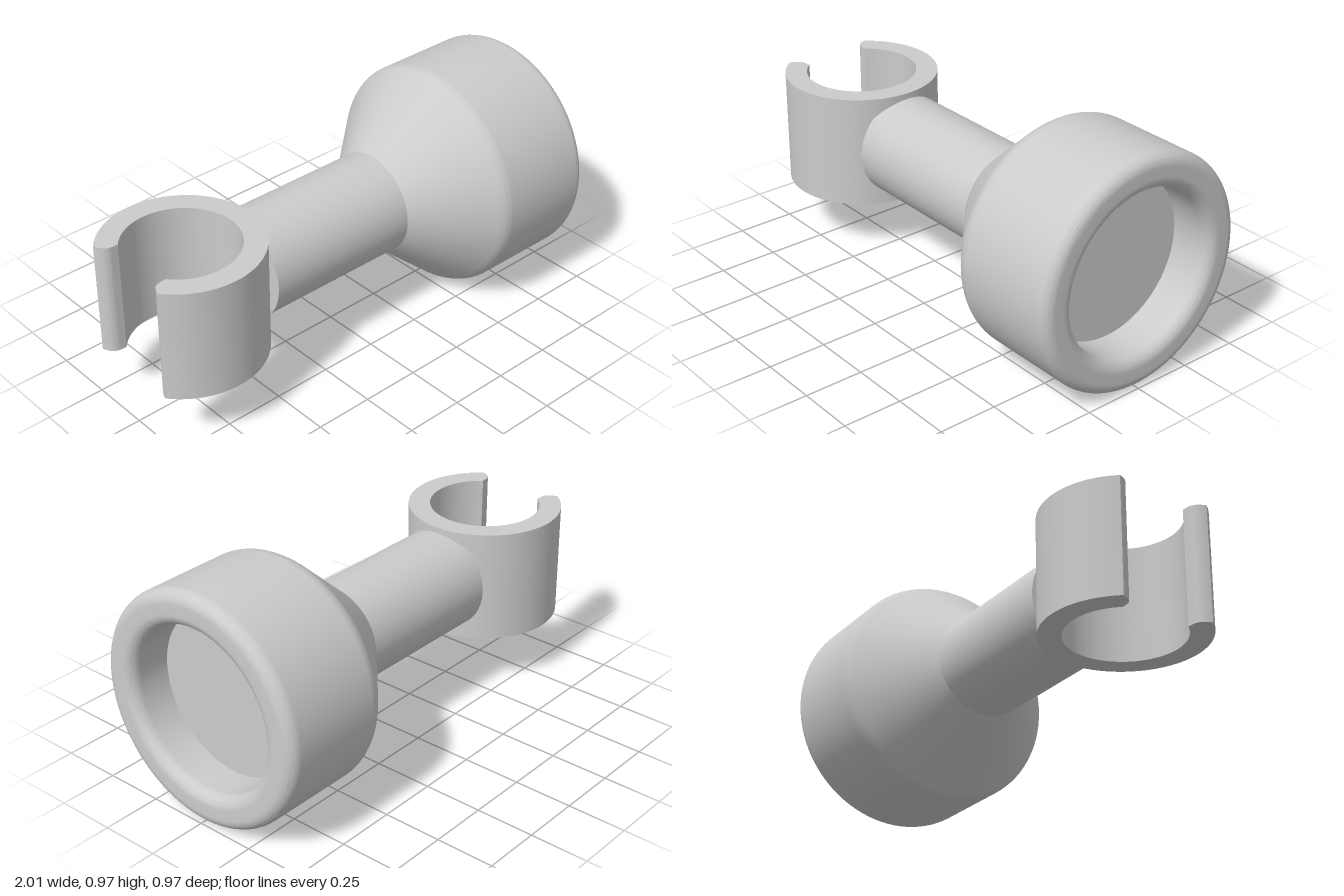
import * as THREE from 'three';
import { toCreasedNormals } from 'three/addons/utils/BufferGeometryUtils.js';

const AXIS_Y = 0.486;

function addPart(group, name, geometry) {
  const material = new THREE.MeshStandardMaterial({ color: 0xcccccc, side: THREE.DoubleSide });
  const mesh = new THREE.Mesh(toCreasedNormals(geometry, 0.45), material);
  mesh.name = name;
  mesh.position.y = AXIS_Y;
  group.add(mesh);
}

// Revolve a profile of (radius, x) about the x axis
function revolve(path) {
  const points = path.getPoints(8);
  return new THREE.LatheGeometry(points, 96).rotateZ(-Math.PI / 2);
}

export function createModel() {
  const group = new THREE.Group();

  // Open C-shaped clip with rounded lips, opening towards -x
  const outer = 0.327, inner = 0.235, cx = -0.75;
  const aOut = Math.atan2(0.195, -0.252), aIn = Math.atan2(0.147, -0.183);
  const clip = new THREE.Shape();
  clip.absarc(cx, 0, outer, -aOut, aOut, false);
  clip.bezierCurveTo(-1.0, 0.17, -0.985, 0.151, -0.96, 0.149);
  clip.lineTo(cx + inner * Math.cos(aIn), inner * Math.sin(aIn));
  clip.absarc(cx, 0, inner, aIn, -aIn, true);
  clip.lineTo(-0.96, -0.149);
  clip.bezierCurveTo(-0.985, -0.151, -1.0, -0.17, cx + outer * Math.cos(aOut), -outer * Math.sin(aOut));
  const clipHeight = 0.485;
  const clipGeometry = new THREE.ExtrudeGeometry(clip, { depth: clipHeight, bevelEnabled: false, curveSegments: 64 });
  clipGeometry.translate(0, 0, -clipHeight / 2).rotateX(-Math.PI / 2);
  addPart(group, 'clip', clipGeometry);

  // Straight shaft, its flat end sunk into the clip
  const shaft = new THREE.CylinderGeometry(0.217, 0.217, 0.70, 96);
  shaft.rotateZ(-Math.PI / 2).translate(-0.11, 0, 0);
  addPart(group, 'shaft', shaft);

  // Flared head with rounded rim and a flat-bottomed recess
  const head = new THREE.Path();
  head.moveTo(0.217, 0.227);
  head.lineTo(0.458, 0.502);
  head.quadraticCurveTo(0.485, 0.533, 0.485, 0.565);
  head.lineTo(0.485, 0.95);
  head.absarc(0.435, 0.95, 0.05, 0, Math.PI / 2, false);
  head.lineTo(0.391, 1);
  head.absarc(0.391, 0.95, 0.05, Math.PI / 2, Math.PI, false);
  head.lineTo(0.341, 0.815);
  head.lineTo(0, 0.815);
  addPart(group, 'head', revolve(head));

  return group;
}
